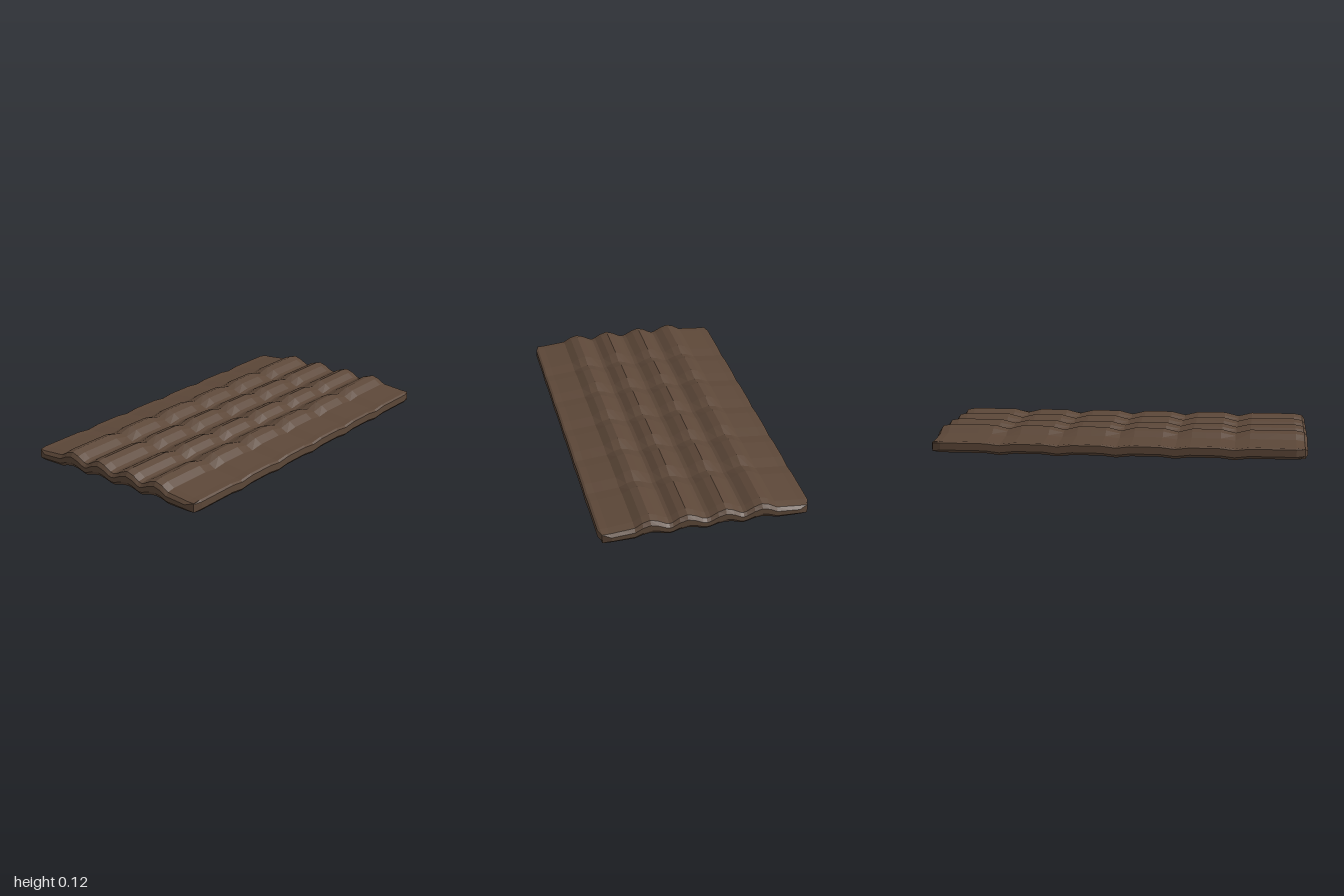
import * as THREE from 'three';

// Half cross-section from the middle valley outwards: [z, top y, bottom y]
const HALF = [
  [0, 0.085, 0.013], [0.02, 0.09, 0.016], [0.06, 0.113, 0.027], [0.1, 0.126, 0.032],
  [0.14, 0.113, 0.027], [0.175, 0.091, 0.016], [0.193, 0.086, 0.013], [0.21, 0.091, 0.016],
  [0.25, 0.113, 0.027], [0.29, 0.126, 0.032], [0.33, 0.114, 0.026], [0.37, 0.089, 0.014],
  [0.45, 0.081, 0.013], [0.5, 0.076, 0.013], [0.538, 0.075, 0.016], [0.55, 0.068, 0.03],
];
const PROFILE = [...HALF.slice().reverse(), ...HALF.slice(1).map(([z, t, b]) => [-z, t, b])];

// Stations along the length: [x, half depth limit, thickness factor]
const stations = [[-1, 0.49, 0.35], [-0.985, 0.535, 0.82], [-0.94, 0.55, 1]];
for (let i = -11; i <= 11; i++) stations.push([i * 0.0775, 0.55, 1]);
stations.push([0.94, 0.55, 1], [0.985, 0.535, 0.82], [1, 0.49, 0.35]);

// Shallow dips repeating along the length, strongest on the crests
function dip(x) {
  return Math.abs(x) > 0.76 ? 0 : Math.max(0, Math.cos((x / 0.31) * Math.PI * 2));
}

function rippledSlab() {
  const pos = [], idx = [];
  const m = PROFILE.length, n = m * 2;
  for (const [x, limit, thick] of stations) {
    const ring = (z, y, other, crest) => {
      const mid = (y + other) / 2;
      const drop = dip(x) * (0.009 + 0.01 * crest);
      pos.push(x, mid + (y - mid) * thick - drop, THREE.MathUtils.clamp(z, -limit, limit));
    };
    for (const [z, t, b] of PROFILE) ring(z, t, b, Math.max(0, (t - 0.085) / 0.041));
    for (const [z, t, b] of PROFILE.slice().reverse()) ring(z, b, t, 0);
  }
  // Skin between neighbouring sections
  for (let i = 0; i < stations.length - 1; i++) {
    for (let j = 0; j < n; j++) {
      const k = (j + 1) % n;
      const a = i * n + j, b = (i + 1) * n + j, c = (i + 1) * n + k, d = i * n + k;
      idx.push(a, b, c, a, c, d);
    }
  }
  // End caps as strips between top and bottom
  const last = (stations.length - 1) * n;
  for (let j = 0; j < m - 1; j++) {
    const t0 = j, t1 = j + 1, b0 = n - 1 - j, b1 = n - 2 - j;
    idx.push(last + t0, last + b0, last + b1, last + t0, last + b1, last + t1);
    idx.push(t0, b1, b0, t0, t1, b1);
  }
  const indexed = new THREE.BufferGeometry();
  indexed.setAttribute('position', new THREE.Float32BufferAttribute(pos, 3));
  indexed.setIndex(idx);
  const geometry = indexed.toNonIndexed();
  geometry.computeVertexNormals(); // one normal per facet
  return geometry;
}

export function createModel() {
  const group = new THREE.Group();
  group.name = 'rippledSlab';
  const brown = new THREE.MeshStandardMaterial({ color: 0x5c4738 });
  brown.name = 'dark brown';
  const slab = new THREE.Mesh(rippledSlab(), brown);
  slab.name = 'slab';
  group.add(slab);
  return group;
}
